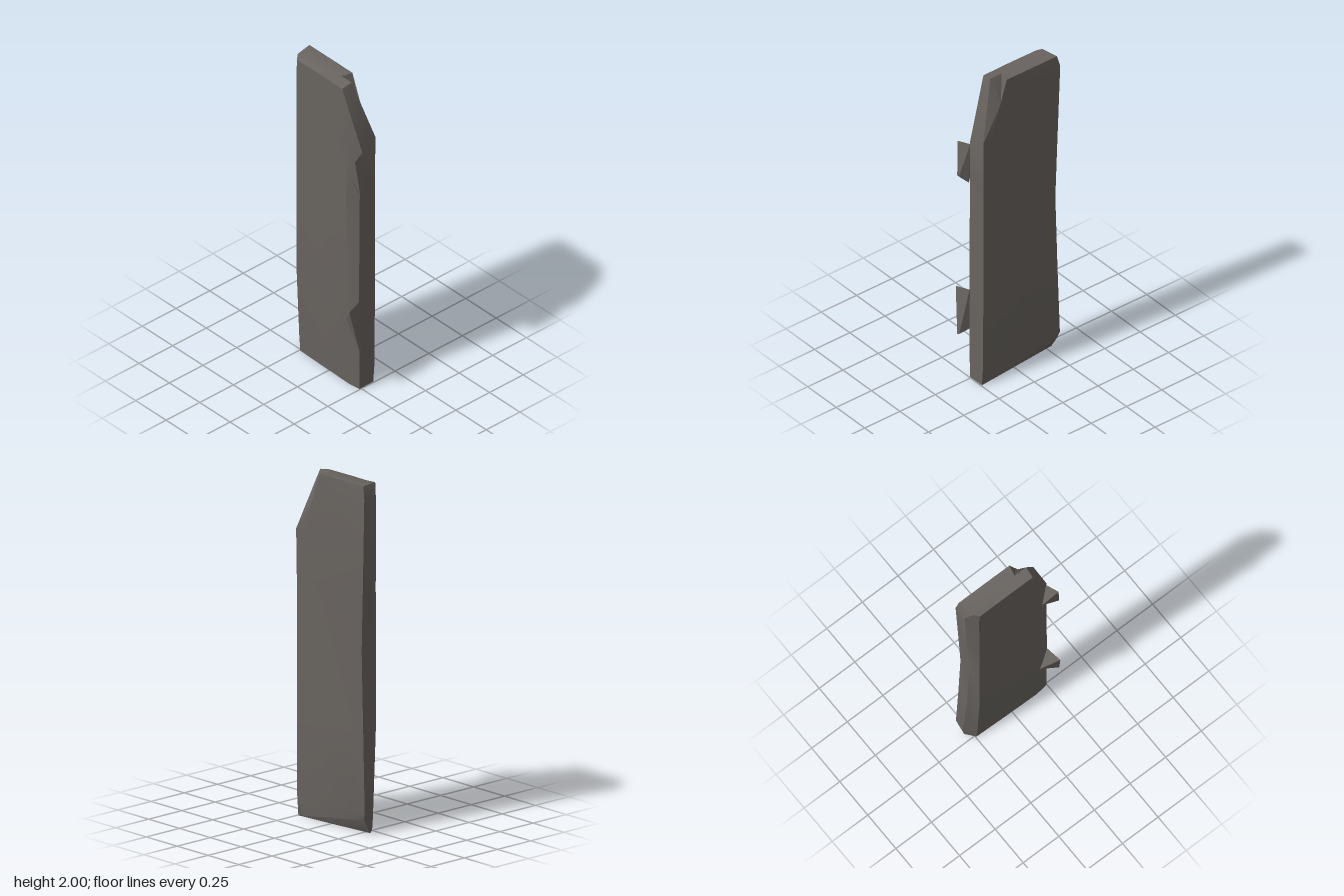
import * as THREE from 'three';
import { toCreasedNormals } from 'three/addons/utils/BufferGeometryUtils.js';
import { ConvexGeometry } from 'three/addons/geometries/ConvexGeometry.js';

const stone = new THREE.MeshStandardMaterial({ color: 0x68635f });
stone.name = 'warm grey stone';

// One cross-section: back left, left, front left, front middle, front right, right,
// back right, right back ridge, back middle, left back ridge.
// dip hollows both broad faces; lift raises the back edge towards the left of the ring.
function section(y, left, frontRight, front, sideZ, back, dip, lift = 0) {
  const backPoint = (x, z) => [x, y + lift * (0.245 - x), z];
  return [
    backPoint(left, back + dip), [left, y, Math.min(-0.02, front - 0.06)],
    [-0.244, y, front - 0.006], [-0.03, y, front - dip], [frontRight, y, front + 0.004],
    [0.246, y, sideZ],
    backPoint(0.244, back + 0.002), backPoint(0.185, back), backPoint(0.04, back + dip),
    backPoint(-0.24, back),
  ];
}

// Broken shoulder, where the corner above is sheared off
const shoulder = [
  [-0.302, 1.93, -0.104], [-0.302, 1.93, -0.025], [-0.246, 1.9, 0.035], [-0.05, 1.8, 0.034],
  [0.178, 1.46, 0.046], [0.253, 1.61, 0],
  [0.246, 1.65, -0.108], [0.185, 1.66, -0.107], [-0.02, 1.85, -0.105], [-0.24, 1.87, -0.108],
];

// Top rim, dipping at the back where a notch is broken out
const rim = [
  [-0.285, 2, -0.096], [-0.265, 2, 0.01], [-0.242, 1.985, 0.035], [-0.05, 1.987, 0.035],
  [0.13, 1.985, 0.035], [0.135, 2, -0.03],
  [0.11, 1.86, -0.095], [0.07, 2, -0.095], [-0.05, 2, -0.096], [-0.24, 2, -0.096],
];

function slabGeometry() {
  const sections = [
    section(0, -0.288, 0.17, 0.015, 0.01, -0.095, 0, 0.16),
    section(0.12, -0.302, 0.17, 0.023, 0.012, -0.104, 0.003),
    section(0.58, -0.287, 0.17, 0.043, 0.014, -0.107, 0.009),
    section(1.05, -0.273, 0.174, 0.043, 0.012, -0.107, 0.01),
    section(1.38, -0.284, 0.176, 0.042, 0.008, -0.107, 0.008),
    shoulder,
    rim,
  ];
  const n = rim.length;
  const index = [];
  const points = sections.flat();
  for (let r = 0; r < sections.length - 1; r++) {
    for (let j = 0; j < n; j++) {
      const a = r * n + j, b = r * n + (j + 1) % n;
      index.push(a, b, a + n, b, b + n, a + n);
    }
  }
  // slanted underside, fanned from the back right of the ring
  for (let j = 7; j < 15; j++) index.push(6, (j + 1) % n, j % n);
  // top face, fanned around the inner corner of the notch
  const t = (sections.length - 1) * n;
  const notch = points.push([0.055, 2, -0.03]) - 1;
  for (let j = 7; j < 15; j++) index.push(notch, t + j % n, t + (j + 1) % n);
  // notch faces
  index.push(t + 5, t + 6, notch, notch, t + 6, t + 7);

  const geometry = new THREE.BufferGeometry();
  geometry.setAttribute('position', new THREE.Float32BufferAttribute(points.flat(), 3));
  geometry.setIndex(index);
  return toCreasedNormals(geometry, 0.5);
}

function addMesh(group, name, geometry) {
  const mesh = new THREE.Mesh(geometry, stone);
  mesh.name = name;
  group.add(mesh);
}

// Faceted shard spanning the given corners
const shard = (corners) => new ConvexGeometry(corners.map((c) => new THREE.Vector3(...c)));

export function createModel() {
  const model = new THREE.Group();
  model.name = 'stoneSlab';
  addMesh(model, 'slab', slabGeometry());
  // jagged shards on the left front edge
  addMesh(model, 'upperShard', shard([
    [0.25, 1.59, 0.002], [0.28, 1.585, 0.075], [0.3, 1.37, 0.055],
    [0.25, 1.32, 0.014], [0.188, 1.46, 0.046], [0.3, 1.38, 0.036],
  ]));
  addMesh(model, 'lowerShard', shard([
    [0.248, 0.595, 0.01], [0.268, 0.575, 0.107], [0.3, 0.29, 0.055],
    [0.24, 0.325, 0.016], [0.174, 0.45, 0.043], [0.3, 0.3, 0.038],
  ]));
  return model;
}
